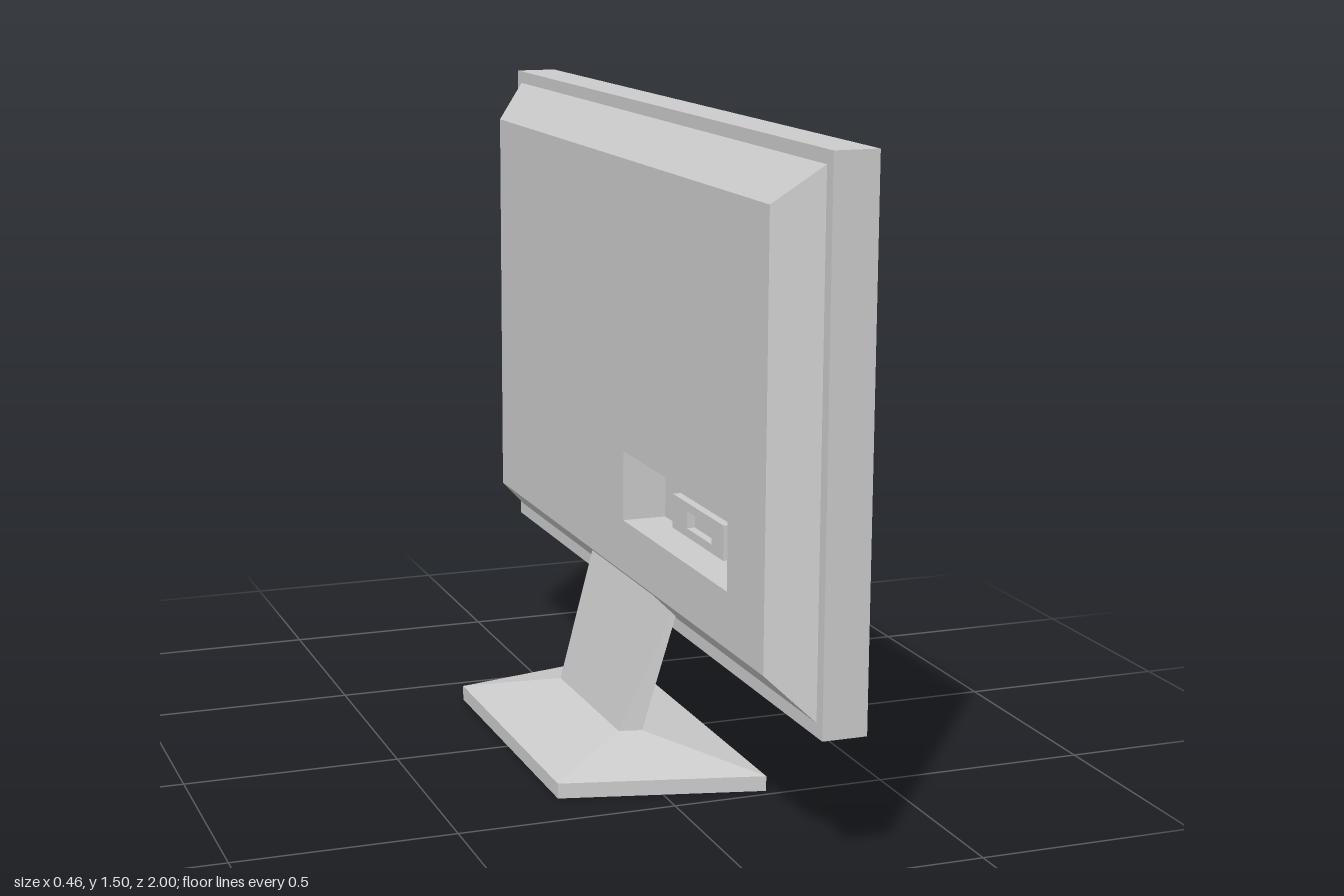
import * as THREE from 'three';

const material = new THREE.MeshStandardMaterial({ color: 0xcccccc, flatShading: true, side: THREE.DoubleSide });

function mesh(name, geometry) {
  const m = new THREE.Mesh(geometry, material);
  m.name = name;
  return m;
}

// Rectangle outline from corner to corner
function rectPoints(x0, y0, x1, y1) {
  return [[x0, y0], [x1, y0], [x1, y1], [x0, y1]].map(([x, y]) => new THREE.Vector2(x, y));
}

// Rectangular plate with a rectangular opening, from z0 to z1
function framePlate(name, outer, inner, z0, z1) {
  const shape = new THREE.Shape(rectPoints(...outer));
  shape.holes.push(new THREE.Path(rectPoints(...inner).reverse()));
  const geometry = new THREE.ExtrudeGeometry(shape, { depth: z1 - z0, bevelEnabled: false });
  return mesh(name, geometry.translate(0, 0, z0));
}

// Joins four-cornered rings; corners run counterclockwise seen from the last ring
function loft(name, rings, capped) {
  const positions = [];
  const quad = (a, b, c, d) => positions.push(...a, ...b, ...c, ...a, ...c, ...d);
  for (let r = 0; r + 1 < rings.length; r++) {
    for (let i = 0; i < 4; i++) {
      const j = (i + 1) % 4;
      quad(rings[r][i], rings[r][j], rings[r + 1][j], rings[r + 1][i]);
    }
  }
  if (capped) {
    quad(...[...rings[0]].reverse());
    quad(...rings[rings.length - 1]);
  }
  const geometry = new THREE.BufferGeometry();
  geometry.setAttribute('position', new THREE.Float32BufferAttribute(positions, 3));
  geometry.computeVertexNormals();
  return mesh(name, geometry);
}

// Level trapezoid ring, wider at the front
function levelRing(y, zBack, zFront, halfBack, halfFront) {
  return [[-halfFront, y, zFront], [halfFront, y, zFront], [halfBack, y, zBack], [-halfBack, y, zBack]];
}

// Upright rectangular ring
function uprightRing(z, half, y0, y1) {
  return [[-half, y0, z], [half, y0, z], [half, y1, z], [-half, y1, z]];
}

export function createModel() {
  const model = new THREE.Group();
  model.name = 'monitor';

  // Built facing +z, then turned so the screen faces +x
  const body = new THREE.Group();
  body.name = 'monitorBody';
  body.rotation.y = Math.PI / 2;
  model.add(body);

  // Bezel and sunken screen
  body.add(framePlate('bezel', [-1, 0.3, 1, 1.5], [-0.94, 0.365, 0.94, 1.435], 0.125, 0.225));
  const screen = mesh('screen', new THREE.BoxGeometry(1.88, 1.07, 0.035));
  screen.position.set(0, 0.9, 0.1625);
  body.add(screen);

  // Back cover with connector recess and sloped rim
  body.add(framePlate('backCover', [-0.89, 0.415, 0.89, 1.385], [-0.69, 0.54, -0.05, 0.705], 0.04, 0.145));
  body.add(loft('backCoverRim', [
    uprightRing(0.04, 0.89, 0.415, 1.385),
    uprightRing(0.125, 0.97, 0.33, 1.47),
  ], false));

  // Socket on the recess wall
  body.add(framePlate('socket', [-0.46, 0.54, -0.15, 0.62], [-0.39, 0.56, -0.24, 0.6], 0.125, 0.145));

  // Leaning neck
  body.add(loft('neck', [
    levelRing(0.083, -0.028, 0.025, 0.21, 0.222),
    levelRing(0.42, 0.06, 0.128, 0.21, 0.222),
  ], true));

  // Foot: flat slab with a sloped top
  body.add(loft('foot', [
    levelRing(0, -0.23, 0.227, 0.37, 0.48),
    levelRing(0.035, -0.23, 0.227, 0.37, 0.48),
    levelRing(0.083, -0.028, 0.025, 0.21, 0.222),
  ], true));

  return model;
}
